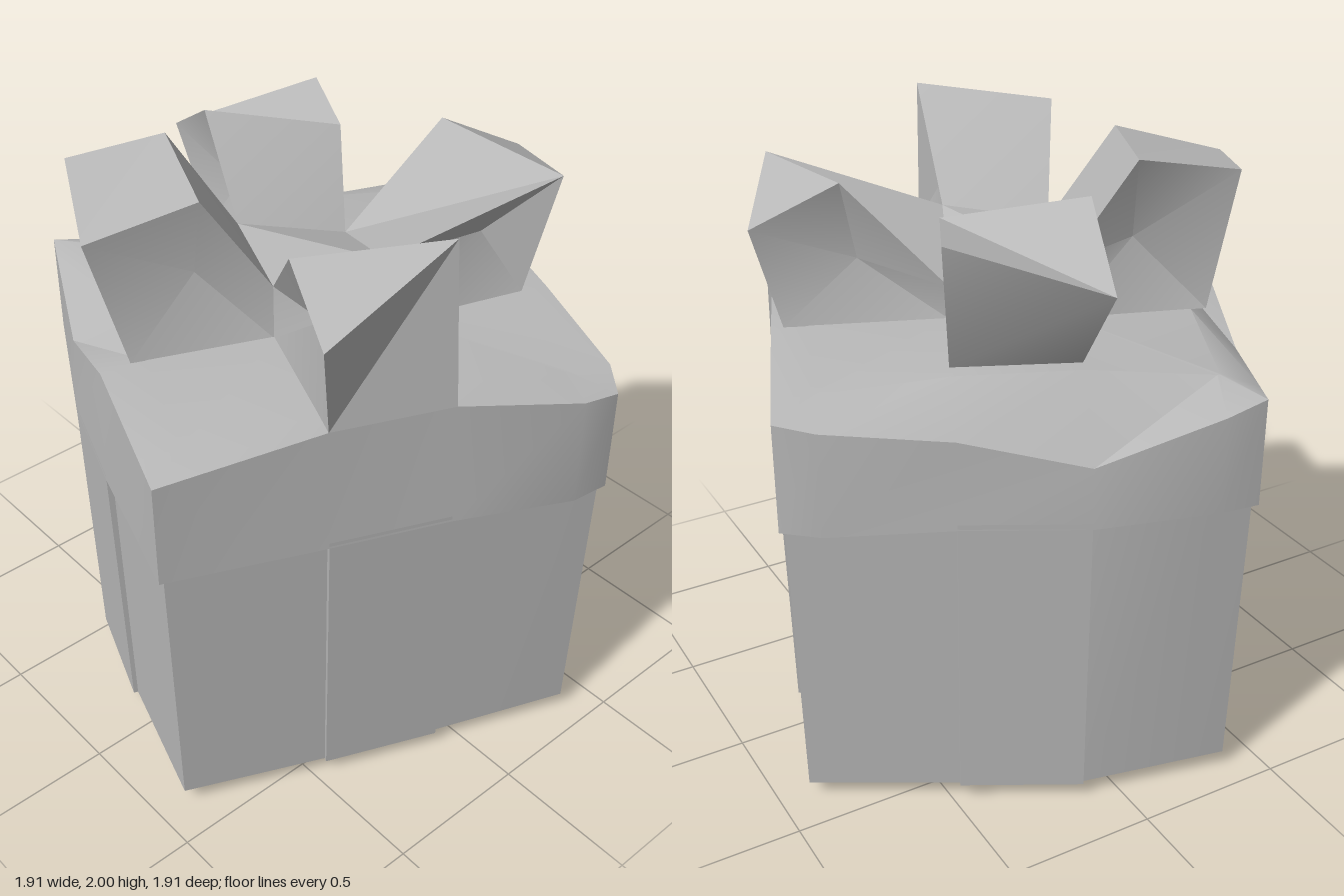
import * as THREE from 'three';
import { toCreasedNormals } from 'three/addons/utils/BufferGeometryUtils.js';

const TURN = 0.4; // the whole parcel is turned on its base
const HALF_RIBBON = 0.2;
const SHOULDER = 0.6; // lid sides swell here, just before the corners

// Point on side k (0 front, 1 right-hand +x, 2 back, 3 -x): a along the side, d outwards
function sidePoint(k, a, d, y) {
  const t = k * Math.PI / 2 - TURN;
  const c = Math.cos(t), s = Math.sin(t);
  return [a * c + d * s, y, d * c - a * s];
}

// Geometry from polygons, each split as a fan; creased where an angle is given
function fromPolygons(polygons, crease) {
  const pos = [];
  for (const p of polygons) {
    for (let i = 1; i < p.length - 1; i++) pos.push(...p[0], ...p[i], ...p[i + 1]);
  }
  const g = new THREE.BufferGeometry();
  g.setAttribute('position', new THREE.Float32BufferAttribute(pos, 3));
  g.computeVertexNormals();
  return crease ? toCreasedNormals(g, crease) : g;
}

// Outline with two ribbon edges, two shoulders and one corner per side.
// Bulges, heights and flares hold a [left, right] pair for each side.
function outline(corner, bulges, yCorner, heights, flares) {
  const ring = [];
  const mix = (SHOULDER - HALF_RIBBON) / (corner - HALF_RIBBON);
  for (let k = 0; k < 4; k++) {
    const edge = (e) => sidePoint(k, e ? HALF_RIBBON : -HALF_RIBBON, bulges[k][e], heights[k][e]);
    const shoulder = (e) => sidePoint(k, e ? SHOULDER : -SHOULDER,
      THREE.MathUtils.lerp(bulges[k][e], corner, mix) + flares[k][e],
      THREE.MathUtils.lerp(heights[k][e], yCorner, mix));
    ring.push(shoulder(0), edge(0), edge(1), shoulder(1), sidePoint(k, corner, corner, yCorner));
  }
  return ring;
}

// Closed shape between outlines, with low cones as its bottom and top
function loft(rings, bottom, top) {
  const polys = [];
  const n = rings[0].length;
  const last = rings[rings.length - 1];
  for (let i = 0; i < n; i++) {
    const j = (i + 1) % n;
    for (let r = 0; r < rings.length - 1; r++) {
      polys.push([rings[r][i], rings[r][j], rings[r + 1][j], rings[r + 1][i]]);
    }
    polys.push([bottom, rings[0][j], rings[0][i]]);
    polys.push([top, last[i], last[j]]);
  }
  return fromPolygons(polys, 0.5);
}

export function createModel() {
  const model = new THREE.Group();
  const grey = new THREE.MeshStandardMaterial({ color: 0xb8b8b8, side: THREE.DoubleSide });
  grey.name = 'grey';
  const add = (name, geometry) => {
    const mesh = new THREE.Mesh(geometry, grey);
    mesh.name = name;
    model.add(mesh);
  };

  // Box with slightly bulging sides
  const bulge = [[0.735, 0.735], [0.745, 0.745], [0.775, 0.815], [0.785, 0.77]];
  const grow = (amount) => bulge.map((pair) => pair.map((d) => d + amount));
  const level = (y) => bulge.map(() => [y, y]);
  add('box', loft([
    outline(0.69, grow(-0.035), 0.06, level(0.055), level(0)),
    outline(0.71, grow(-0.02), 1.06, level(1.06), level(0)),
  ], [0.12, 0, -0.16], [0, 1.06, 0]));

  // Lid: level plateau, rim sagging at the back, swollen towards three corners
  const rim = [[1.47, 1.47], [1.47, 1.46], [1.33, 1.24], [1.32, 1.45]];
  const flare = [[0, 0.035], [0.035, 0], [0.03, 0.015], [0, 0]];
  add('lid', loft([
    outline(0.727, bulge, 1.04, level(1.04), flare),
    outline(0.727, grow(-0.015), 1.4, rim, flare),
    outline(0.61, level(0.61), 1.43, level(1.47), level(0)),
  ], [0, 1.04, 0], [0, 1.48, 0]));

  // Ribbon strips down the four sides, each a shallow box
  for (let k = 0; k < 4; k++) {
    const edge = (side, inset, y) =>
      sidePoint(k, side ? HALF_RIBBON : -HALF_RIBBON, bulge[k][side] - inset, y);
    const bl = edge(0, 0.02, 0.055), br = edge(1, 0.02, 0.055);
    const tl = edge(0, 0, 1.06), tr = edge(1, 0, 1.06);
    const bli = edge(0, 0.06, 0.055), bri = edge(1, 0.06, 0.055);
    const tli = edge(0, 0.06, 1.06), tri = edge(1, 0.06, 1.06);
    add('ribbon' + (k + 1), fromPolygons([
      [bl, br, tr, tl], [br, bri, tri, tr], [bli, bl, tl, tli], [bli, bri, br, bl],
    ]));
  }

  // Knot in the middle of the bow
  const knot = [[0.05, 1.7, 0.27], [0.22, 1.57, -0.1], [-0.1, 1.65, -0.27], [-0.26, 1.65, 0.1]];
  add('knot', fromPolygons([knot]));

  // Bow loops: base distances, outer top edge and crest, each left then right seen from outside
  const loops = [
    { base: [0.72, 0.72], outer: [[-0.56, 1.83, 0.67], [-0.07, 2, 0.68]], crest: [[-0.45, 1.96, 0.4], [-0.07, 2, 0.68]] },
    { base: [0.64, 0.69], outer: [[0.57, 1.9, 0.51], [0.79, 1.79, 0.13]], crest: [[0.57, 1.9, 0.51], [0.53, 1.93, 0.02]] },
    { base: [0.55, 0.56], outer: [[0.47, 1.9, -0.53], [0.06, 1.76, -0.8]], crest: [[0.33, 1.87, -0.25], [-0.04, 1.95, -0.5]] },
    { base: [0.66, 0.66], outer: [[-0.57, 1.95, -0.52], [-0.77, 1.88, -0.15]], crest: [[-0.28, 1.99, -0.39], [-0.45, 1.97, 0]] },
  ];
  loops.forEach(({ base, outer: A, crest: C }, k) => {
    const B = [sidePoint(k, -HALF_RIBBON, base[0], 1.47), sidePoint(k, HALF_RIBBON, base[1], 1.47)];
    const inner = [knot[(k + 3) % 4], knot[k]];
    const polys = [
      [B[0], B[1], A[1], A[0]],
      [A[1], C[1], C[0], A[0]],
      [C[0], C[1], inner[1], inner[0]],
    ];
    // Pinched sides fold inwards around a recessed point
    for (const s of [0, 1]) {
      const foot = [inner[s][0], 1.46, inner[s][2]];
      const loopEdge = [B[s], foot, inner[s], C[s], A[s]];
      const inward = sidePoint(k, s ? -0.08 : 0.08, 0, 0);
      const pinch = [0, 1, 2].map((i) => (B[s][i] + inner[s][i] + C[s][i]) / 3 + inward[i]);
      loopEdge.forEach((p, i) => {
        const q = loopEdge[(i + 1) % loopEdge.length];
        // Coincident outer and crest points leave no face between them
        if (p.some((v, n) => v !== q[n])) polys.push(s ? [p, q, pinch] : [q, p, pinch]);
      });
    }
    add('bowLoop' + (k + 1), fromPolygons(polys, 0.45));
  });

  return model;
}
